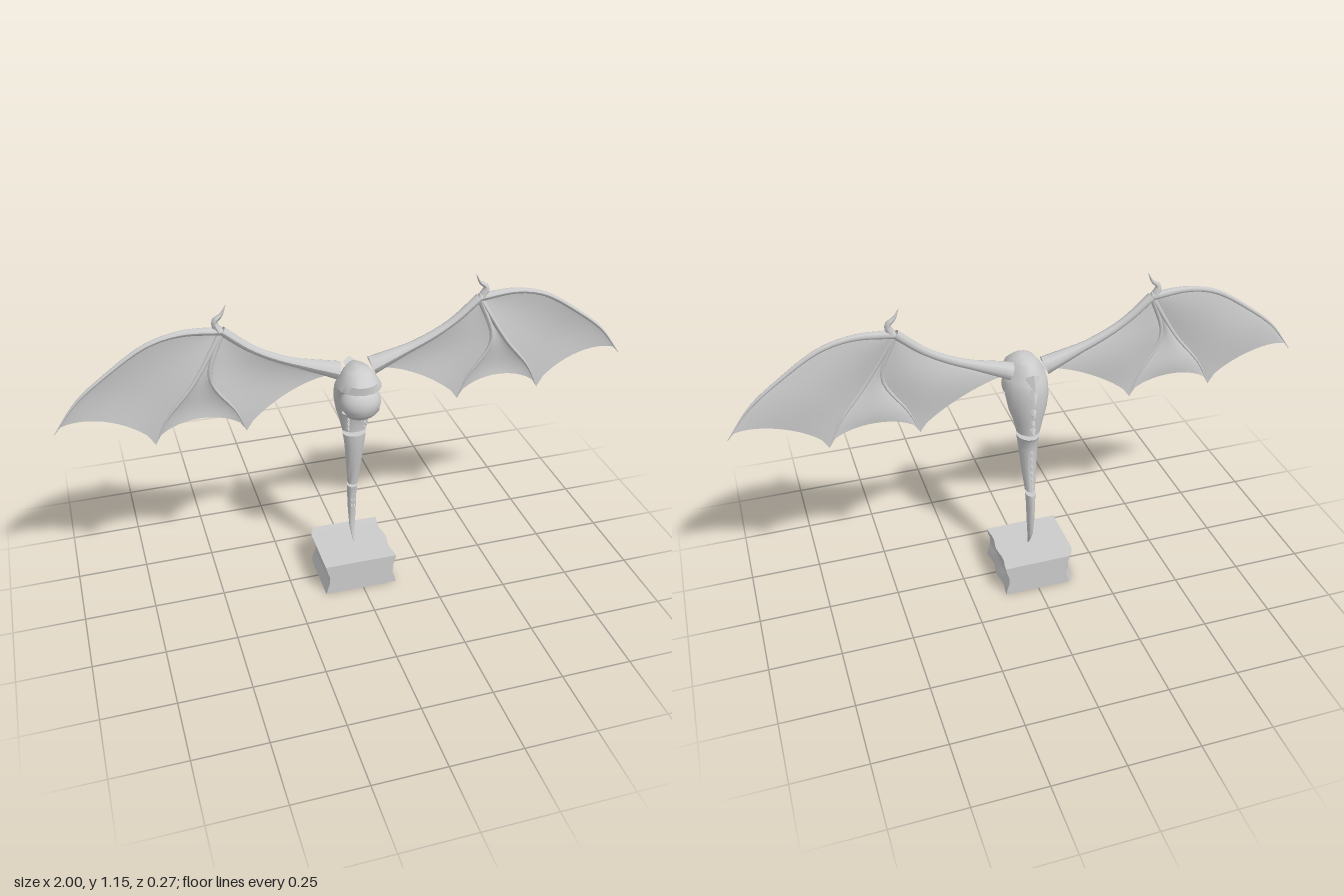
import * as THREE from 'three';
import { toCreasedNormals } from 'three/addons/utils/BufferGeometryUtils.js';

const V = (x, y, z = 0) => new THREE.Vector3(x, y, z);
const grey = new THREE.MeshStandardMaterial({ color: 0xcccccc, side: THREE.DoubleSide });

function mesh(name, geometry, parent) {
  const m = new THREE.Mesh(geometry, grey);
  m.name = name;
  parent.add(m);
  return m;
}

// Stack of oval rings, listed downwards as [y, zFront, zBack, halfWidth], narrower at the back
function loft(sections, sides = 14) {
  const closed = (s) => [s[0], (s[1] + s[2]) / 2, (s[1] + s[2]) / 2, 0];
  const rows = [closed(sections[0]), ...sections, closed(sections.at(-1))];
  const pos = [], index = [];
  rows.forEach(([y, zf, zb, w], i) => {
    for (let j = 0; j < sides; j++) {
      const t = (j / sides) * Math.PI * 2, c = Math.cos(t);
      pos.push(w * Math.sin(t) * (1 + 0.2 * c), y, (zf + zb) / 2 + ((zf - zb) / 2) * c);
      if (i === rows.length - 1) continue;
      const a = i * sides + j, b = i * sides + ((j + 1) % sides);
      index.push(a, a + sides, b, b, a + sides, b + sides);
    }
  });
  const g = new THREE.BufferGeometry();
  g.setAttribute('position', new THREE.Float32BufferAttribute(pos, 3));
  g.setIndex(index);
  return toCreasedNormals(g, 0.7);
}

// Tube whose radius runs through the given list
function taperedTube(curve, radii, n = 16, sides = 8) {
  const g = new THREE.TubeGeometry(curve, n, 1, sides);
  const p = g.attributes.position, v = V(0, 0);
  for (let i = 0; i <= n; i++) {
    const c = curve.getPointAt(i / n), f = (i / n) * (radii.length - 1);
    const k = Math.min(Math.floor(f), radii.length - 2);
    const r = THREE.MathUtils.lerp(radii[k], radii[k + 1], f - k);
    for (let j = 0; j <= sides; j++) {
      const id = i * (sides + 1) + j;
      v.fromBufferAttribute(p, id).sub(c).multiplyScalar(r).add(c);
      p.setXYZ(id, v.x, v.y, v.z);
    }
  }
  g.computeVertexNormals();
  return g;
}

function spike(name, base, tip, radius, parent) {
  const dir = tip.clone().sub(base);
  const g = new THREE.ConeGeometry(radius, dir.length(), 5).toNonIndexed();
  g.computeVertexNormals();
  const m = mesh(name, g, parent);
  m.position.copy(base).add(tip).multiplyScalar(0.5);
  m.quaternion.setFromUnitVectors(V(0, 1), dir.normalize());
}

// Skin between two ribs; the trailing edge is scalloped and the middle sags
function membrane(a, b, scallop, sag) {
  const N = 14, pos = [], index = [];
  for (let i = 0; i <= N; i++) {
    for (let j = 0; j <= N; j++) {
      const u = i / N, v = j / N;
      const p = a.getPoint(v).lerp(b.getPoint(v), u);
      const bow = Math.sqrt(Math.max(0, Math.sin(Math.PI * u)));
      pos.push(p.x, p.y + scallop * bow * v * v, p.z + sag * Math.sin(Math.PI * u) * Math.sin(Math.PI * v * 0.8));
      if (i < N && j < N) {
        const k = i * (N + 1) + j;
        index.push(k, k + N + 1, k + 1, k + 1, k + N + 1, k + N + 2);
      }
    }
  }
  const g = new THREE.BufferGeometry();
  g.setAttribute('position', new THREE.Float32BufferAttribute(pos, 3));
  g.setIndex(index);
  g.computeVertexNormals();
  return g;
}

function wing(s) {
  const w = new THREE.Group();
  w.name = s > 0 ? 'leftWing' : 'rightWing';
  const path = (...pts) => new THREE.CatmullRomCurve3(pts.map(([x, y, z = 0]) => V(s * x, y, z)));
  const arm = path([0.44, 1.06], [0.35, 0.985], [0.25, 0.93], [0.06, 0.86]);
  const armEdge = path([0.44, 1.06], [0.35, 0.98], [0.25, 0.92], [0.06, 0.835]);
  const inner = path([0.44, 1.06], [0.49, 0.9, 0.012], [0.41, 0.76, 0.003], [0.378, 0.68]);
  const middle = path([0.44, 1.06], [0.545, 0.89, 0.012], [0.64, 0.77, 0.003], [0.685, 0.678]);
  const leading = path([0.44, 1.06], [0.57, 1.068], [0.68, 1.043], [0.82, 0.955], [0.92, 0.874], [1, 0.77]);
  const claw = path([0.45, 1.06], [0.462, 1.095], [0.44, 1.115], [0.423, 1.147]);

  mesh('arm', taperedTube(arm, [0.016, 0.014, 0.017, 0.033]), w);
  mesh('innerFinger', taperedTube(inner, [0.01, 0.008, 0.006, 0.001]), w);
  mesh('middleFinger', taperedTube(middle, [0.01, 0.008, 0.006, 0.001]), w);
  mesh('leadingFinger', taperedTube(leading, [0.015, 0.01, 0.008, 0.006, 0.001], 24), w);
  mesh('thumbClaw', taperedTube(claw, [0.016, 0.011, 0.006, 0.0005], 10, 6), w);
  mesh('innerMembrane', membrane(armEdge, inner, 0.045, -0.014), w);
  mesh('middleMembrane', membrane(inner, middle, 0.07, -0.012), w);
  mesh('outerMembrane', membrane(middle, leading, 0.065, -0.014), w);
  return w;
}

export function createModel() {
  const model = new THREE.Group();

  // Hooded upper body
  mesh('hoodedBody', loft([
    [0.89, 0.07, 0.03, 0.012], [0.878, 0.095, -0.02, 0.04], [0.85, 0.132, -0.045, 0.06],
    [0.822, 0.13, -0.06, 0.075], [0.805, 0.085, -0.066, 0.075], [0.76, 0.06, -0.068, 0.075],
    [0.71, 0.045, -0.066, 0.066], [0.67, 0.028, -0.06, 0.053], [0.62, 0.025, -0.055, 0.042],
  ], 18), model);

  // Single eye with a lower lid
  const eye = mesh('eye', new THREE.SphereGeometry(1, 24, 16), model);
  eye.scale.set(0.07, 0.06, 0.06);
  eye.position.set(0, 0.768, 0.07);
  const lid = mesh('lowerLid', new THREE.SphereGeometry(1, 24, 8, 0, Math.PI * 2, Math.PI * 0.68, Math.PI * 0.32), model);
  lid.scale.set(0.077, 0.066, 0.066);
  lid.position.set(0, 0.767, 0.064);
  lid.rotation.x = -0.25;

  // Two separate tail pieces
  mesh('upperTail', loft([
    [0.605, 0.03, -0.06, 0.042], [0.59, 0.029, -0.05, 0.039], [0.55, 0.025, -0.046, 0.034],
    [0.48, 0.012, -0.046, 0.028], [0.42, 0, -0.048, 0.022], [0.38, -0.006, -0.056, 0.018],
  ]), model);
  mesh('lowerTail', loft([
    [0.365, -0.01, -0.06, 0.018], [0.32, -0.018, -0.062, 0.016], [0.25, -0.02, -0.056, 0.014],
    [0.18, -0.024, -0.043, 0.01], [0.15, -0.016, -0.03, 0.006], [0.122, -0.008, -0.011, 0.002],
  ]), model);

  // Spines down the back: [tip y, tip z, base radius]
  [[0.81, -0.092, 0.026], [0.758, -0.09, 0.024], [0.705, -0.084, 0.022], [0.665, -0.078, 0.018], [0.628, -0.08, 0.018],
    [0.54, -0.057, 0.014], [0.512, -0.058, 0.013], [0.483, -0.059, 0.013], [0.455, -0.059, 0.012],
    [0.428, -0.06, 0.012], [0.4, -0.06, 0.01]].forEach(([y, z, r]) =>
    spike('backSpine', V(0, y + r * 1.6, z + 0.04), V(0, y, z), r, model));

  // Small paired spikes under the eye and along the front of the tail
  for (const s of [-1, 1]) {
    [0.688, 0.672, 0.655, 0.637].forEach((y, i) =>
      spike('chestSpike', V(s * 0.026, y, 0.01), V(s * (0.038 - i * 0.002), y - 0.003, 0.06 - i * 0.008), 0.008, model));
    [0.335, 0.305, 0.28].forEach((y) =>
      spike('tailSpike', V(s * 0.004, y, -0.025), V(s * 0.006, y - 0.006, -0.01), 0.006, model));
    model.add(wing(s));
  }

  // Plinth: a slab with hollowed ends and one softened back corner
  const outline = new THREE.Shape([
    [-0.142, 0], [0.125, 0], [0.121, 0.02], [0.113, 0.045], [0.113, 0.075], [0.121, 0.1], [0.125, 0.12],
    [-0.142, 0.122], [-0.136, 0.1], [-0.128, 0.075], [-0.128, 0.045], [-0.136, 0.02],
  ].map(([x, y]) => new THREE.Vector2(x, y)));
  const slab = new THREE.ExtrudeGeometry(outline, { depth: 0.25, steps: 10, bevelEnabled: false });
  slab.translate(0, 0, -0.135);
  const p = slab.attributes.position;
  for (let i = 0; i < p.count; i++) {
    const x = p.getX(i), t = (p.getZ(i) + 0.135) / 0.25;
    const corner = 0.022 * Math.max(0, 1 - t / 0.2) ** 2;
    p.setX(i, x < 0 ? x + corner : x + 0.004 * Math.cos(t * Math.PI * 4) - 0.004);
  }
  mesh('plinth', toCreasedNormals(slab, 0.3), model);

  return model;
}
